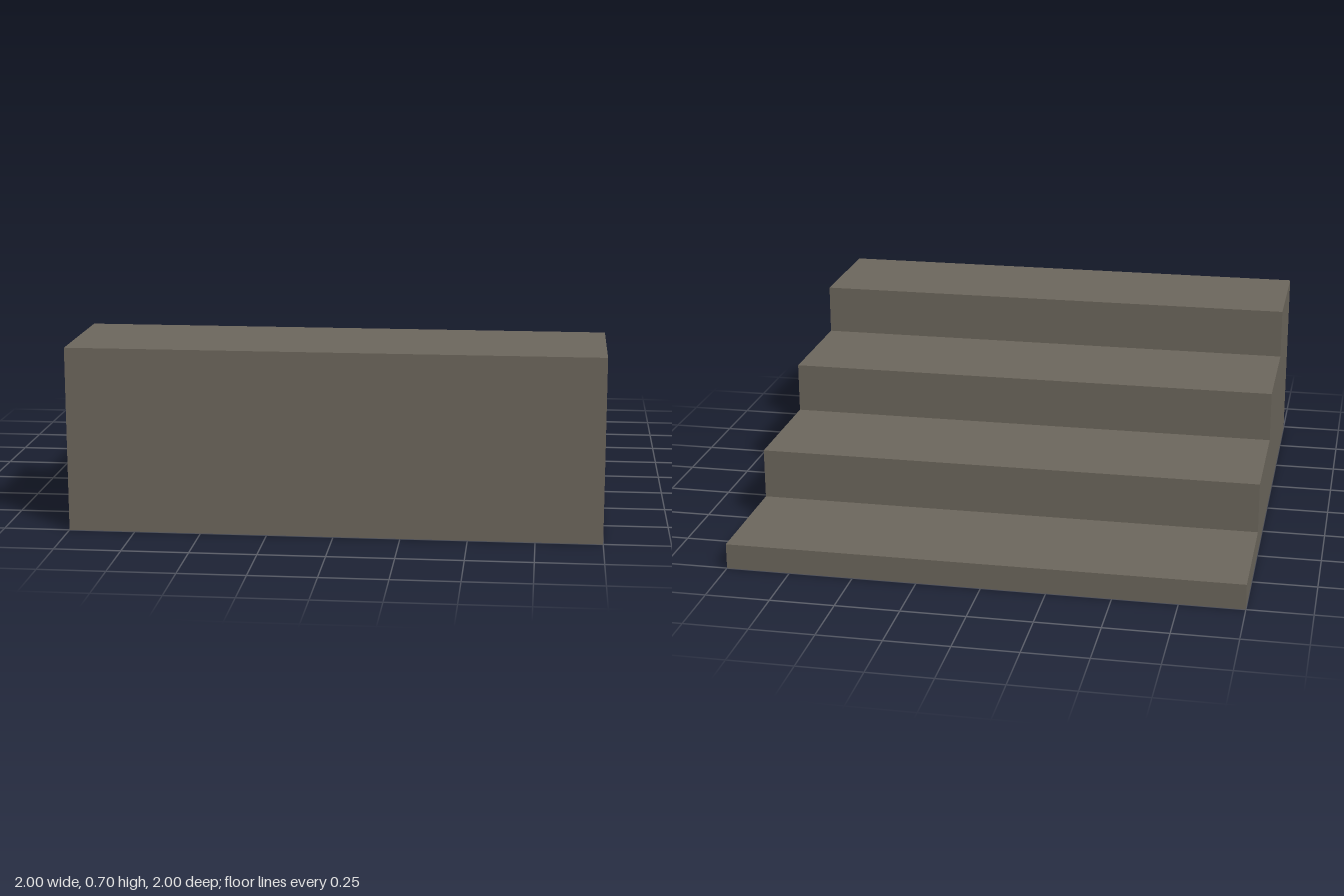
import * as THREE from 'three';

const STEPS = 4, DEPTH = 0.5, RISE = 0.2, FIRST = 0.1, WIDTH = 2;

export function createModel() {
  const group = new THREE.Group();
  group.name = 'staircase';
  const stone = new THREE.MeshStandardMaterial({ color: 0x6e685e, side: THREE.DoubleSide });
  stone.name = 'grey brown stone';

  const add = (name, geometry, x, y, z) => {
    const mesh = new THREE.Mesh(geometry, stone);
    mesh.name = name;
    mesh.position.set(x, y, z);
    group.add(mesh);
  };

  // Treads and risers, climbing from the back to the front
  let top = 0;
  for (let i = 0; i < STEPS; i++) {
    const rise = i === 0 ? FIRST : RISE;
    const z = -1 + i * DEPTH;
    add('riser' + (i + 1), new THREE.PlaneGeometry(WIDTH, rise).rotateY(Math.PI), 0, top + rise / 2, z);
    top += rise;
    add('tread' + (i + 1), new THREE.PlaneGeometry(WIDTH, DEPTH).rotateX(-Math.PI / 2), 0, top, z + DEPTH / 2);
  }

  // Tall front wall; the underside stays open
  add('frontWall', new THREE.PlaneGeometry(WIDTH, top), 0, top / 2, 1);

  // Stepped side walls, mirrored so both face outward
  for (const side of [-1, 1]) {
    const points = [new THREE.Vector2(side, 0)];
    for (let i = 0; i < STEPS; i++) {
      const y = FIRST + i * RISE;
      const z = -1 + i * DEPTH;
      points.push(new THREE.Vector2(-side * z, y), new THREE.Vector2(-side * (z + DEPTH), y));
    }
    points.push(new THREE.Vector2(-side, 0));
    const wall = new THREE.ShapeGeometry(new THREE.Shape(points)).rotateY(side * Math.PI / 2);
    add(side > 0 ? 'leftWall' : 'rightWall', wall, side * WIDTH / 2, 0, 0);
  }
  return group;
}
